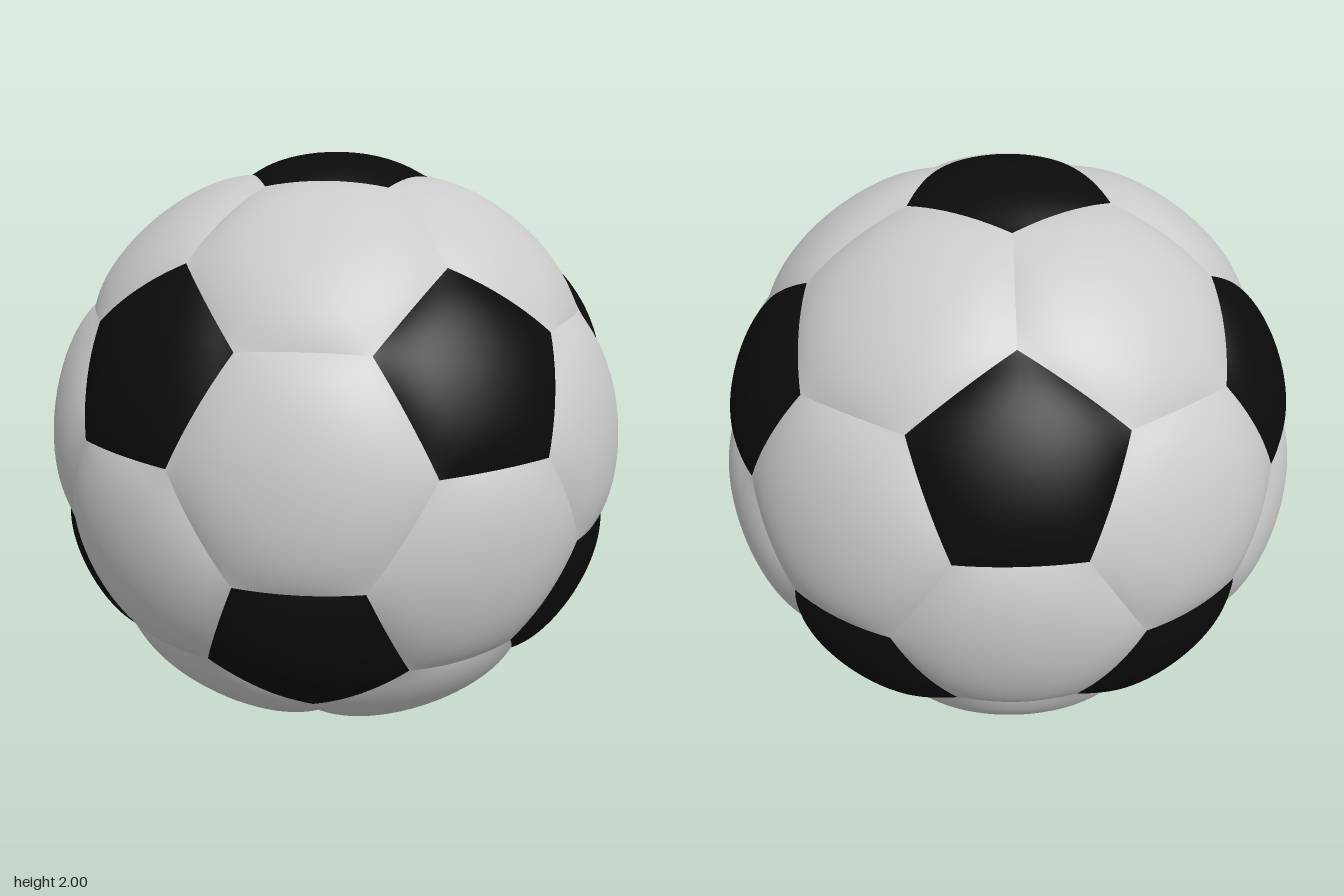
import * as THREE from 'three';

const RINGS = 14, STEPS = 10;      // mesh density of each panel
const SEAM = 0.967, SOFT = 0.08;   // seam radius and width of the rounded edge

// Twelve icosahedron corners with one at the top and one at the bottom
function icosahedronCorners() {
  const corners = [new THREE.Vector3(0, 1, 0), new THREE.Vector3(0, -1, 0)];
  const y = 1 / Math.sqrt(5), r = 2 * y;
  for (let i = 0; i < 5; i++) {
    const a = i * Math.PI * 2 / 5, b = a + Math.PI / 5;
    corners.push(new THREE.Vector3(r * Math.cos(a), y, r * Math.sin(a)));
    corners.push(new THREE.Vector3(r * Math.cos(b), -y, r * Math.sin(b)));
  }
  return corners;
}

// Puffed spherical polygon: high in the middle, rolling down to the seams
function panelGeometry(points, height) {
  const n = points.length;
  const centre = points.reduce((s, p) => s.add(p), new THREE.Vector3()).divideScalar(n);
  const axis = centre.clone().normalize();
  const u = points[0].clone().sub(centre).normalize();
  const v = axis.clone().cross(u);
  const angle = p => Math.atan2(p.dot(v), p.dot(u));
  const ring = [...points].sort((a, b) => angle(a) - angle(b));
  const edges = ring.map((p, i) => p.clone().cross(ring[(i + 1) % n]).normalize());

  const puff = d => edges.reduce(
    (m, e) => m * (1 - Math.exp(-Math.max(0, Math.asin(d.dot(e))) / SOFT)), 1);
  const full = puff(axis);
  const position = [], index = [];
  const add = p => {
    const d = p.clone().normalize();
    d.multiplyScalar(SEAM + (height - SEAM) * puff(d) / full);
    position.push(d.x, d.y, d.z);
  };

  add(centre);
  const count = n * STEPS;
  for (let k = 1; k <= RINGS; k++) {
    const s = 1 - Math.pow(1 - k / RINGS, 1.6);   // rings crowd towards the seam
    for (let j = 0; j < count; j++) {
      const side = Math.floor(j / STEPS);
      const edgePoint = ring[side].clone().lerp(ring[(side + 1) % n], (j % STEPS) / STEPS);
      add(centre.clone().lerp(edgePoint, s));
    }
  }
  for (let j = 0; j < count; j++) {
    const next = (j + 1) % count;
    index.push(0, 1 + j, 1 + next);
    for (let k = 1; k < RINGS; k++) {
      const a = 1 + (k - 1) * count, b = a + count;
      index.push(a + j, b + j, b + next, a + j, b + next, a + next);
    }
  }
  const geometry = new THREE.BufferGeometry();
  geometry.setAttribute('position', new THREE.Float32BufferAttribute(position, 3));
  geometry.setIndex(index);
  geometry.computeVertexNormals();
  return geometry;
}

export function createModel() {
  const ball = new THREE.Group();
  ball.name = 'football';
  const white = new THREE.MeshStandardMaterial({ color: 0xcccccc });
  const black = new THREE.MeshStandardMaterial({ color: 0x0b0b0b });
  const corners = icosahedronCorners();
  const near = (a, b) => a !== b && a.dot(b) > 0.4;
  const third = (a, b) => a.clone().multiplyScalar(2).add(b).divideScalar(3);

  const addPanel = (name, points, height, material) => {
    const mesh = new THREE.Mesh(panelGeometry(points, height), material);
    mesh.name = name;
    mesh.position.y = 1;
    ball.add(mesh);
  };

  // Black pentagons, one on each icosahedron corner
  for (const a of corners) {
    const points = corners.filter(b => near(a, b)).map(b => third(a, b));
    addPanel('blackPentagon', points, 1, black);
  }

  // White hexagons, one on each icosahedron face
  corners.forEach((a, i) => corners.forEach((b, j) => corners.forEach((c, k) => {
    if (i < j && j < k && near(a, b) && near(b, c) && near(a, c)) {
      const points = [third(a, b), third(b, a), third(b, c), third(c, b), third(c, a), third(a, c)];
      addPanel('whiteHexagon', points, 0.996, white);
    }
  })));
  return ball;
}
